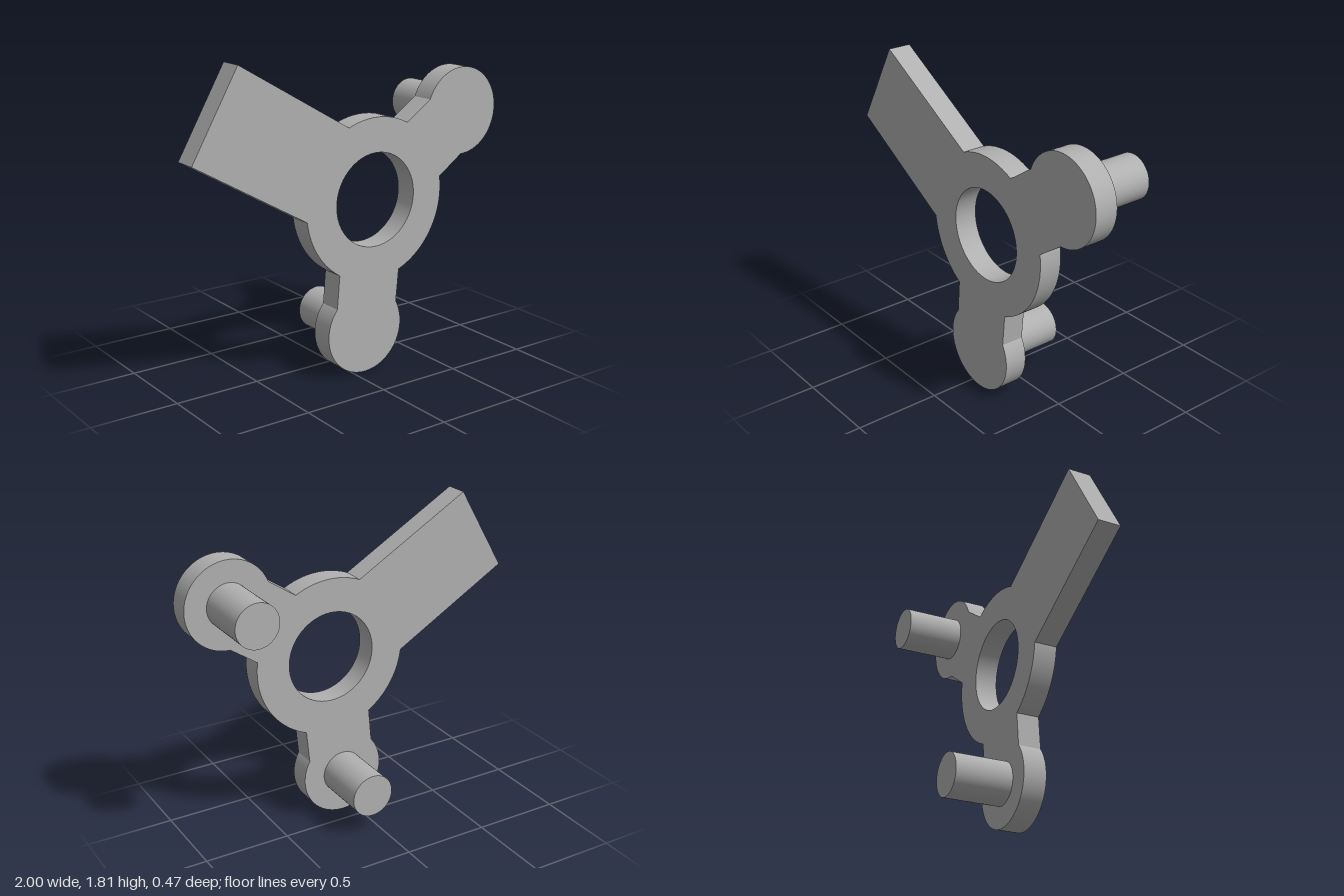
import * as THREE from 'three';
import { toCreasedNormals } from 'three/addons/utils/BufferGeometryUtils.js';

const HUB = { x: 0.14, y: 0.995, r: 0.46 };
const LOBES = [
  { x: 0.073, y: 0.253, r: 0.25 },
  { x: 0.748, y: 1.423, r: 0.25 },
];
const BACK = -0.235, PLATE_BACK = 0.1, FRONT = 0.235;

export function createModel() {
  const group = new THREE.Group();
  const grey = new THREE.MeshStandardMaterial({ color: 0xb0b0b0 });
  grey.name = 'grey metal';

  // Outline: counter-clockwise arcs joined by the straight arm edges
  const shape = new THREE.Shape();
  const arc = (c, x0, y0, x1, y1) => shape.absarc(c.x, c.y, c.r,
    Math.atan2(y0 - c.y, x0 - c.x), Math.atan2(y1 - c.y, x1 - c.x), false);

  shape.moveTo(-0.725, 1.812);
  shape.lineTo(-1, 1.336);
  arc(HUB, -0.315, 0.94, -0.104, 0.604);
  arc(LOBES[0], -0.12, 0.412, 0.291, 0.378);
  arc(HUB, 0.307, 0.567, 0.596, 1.064);
  arc(LOBES[1], 0.751, 1.17, 0.51, 1.513);
  arc(HUB, 0.356, 1.406, -0.043, 1.416);
  shape.closePath();

  // Round bore through the hub
  const bore = new THREE.Path();
  bore.absarc(HUB.x, HUB.y, 0.265, 0, Math.PI * 2, true);
  shape.holes.push(bore);

  // Flat three-armed plate
  const plateGeometry = new THREE.ExtrudeGeometry(shape, {
    depth: FRONT - PLATE_BACK, bevelEnabled: false, curveSegments: 48,
  });
  const plate = new THREE.Mesh(toCreasedNormals(plateGeometry, 0.3), grey);
  plate.name = 'armPlate';
  plate.position.z = PLATE_BACK;
  group.add(plate);

  // Pegs behind the two round lobes
  const length = PLATE_BACK - BACK;
  const pegGeometry = new THREE.CylinderGeometry(0.125, 0.125, length, 48).rotateX(Math.PI / 2);
  LOBES.forEach((lobe, i) => {
    const peg = new THREE.Mesh(pegGeometry, grey);
    peg.name = ['lowerPeg', 'upperPeg'][i];
    peg.position.set(lobe.x, lobe.y, BACK + length / 2);
    group.add(peg);
  });

  return group;
}
